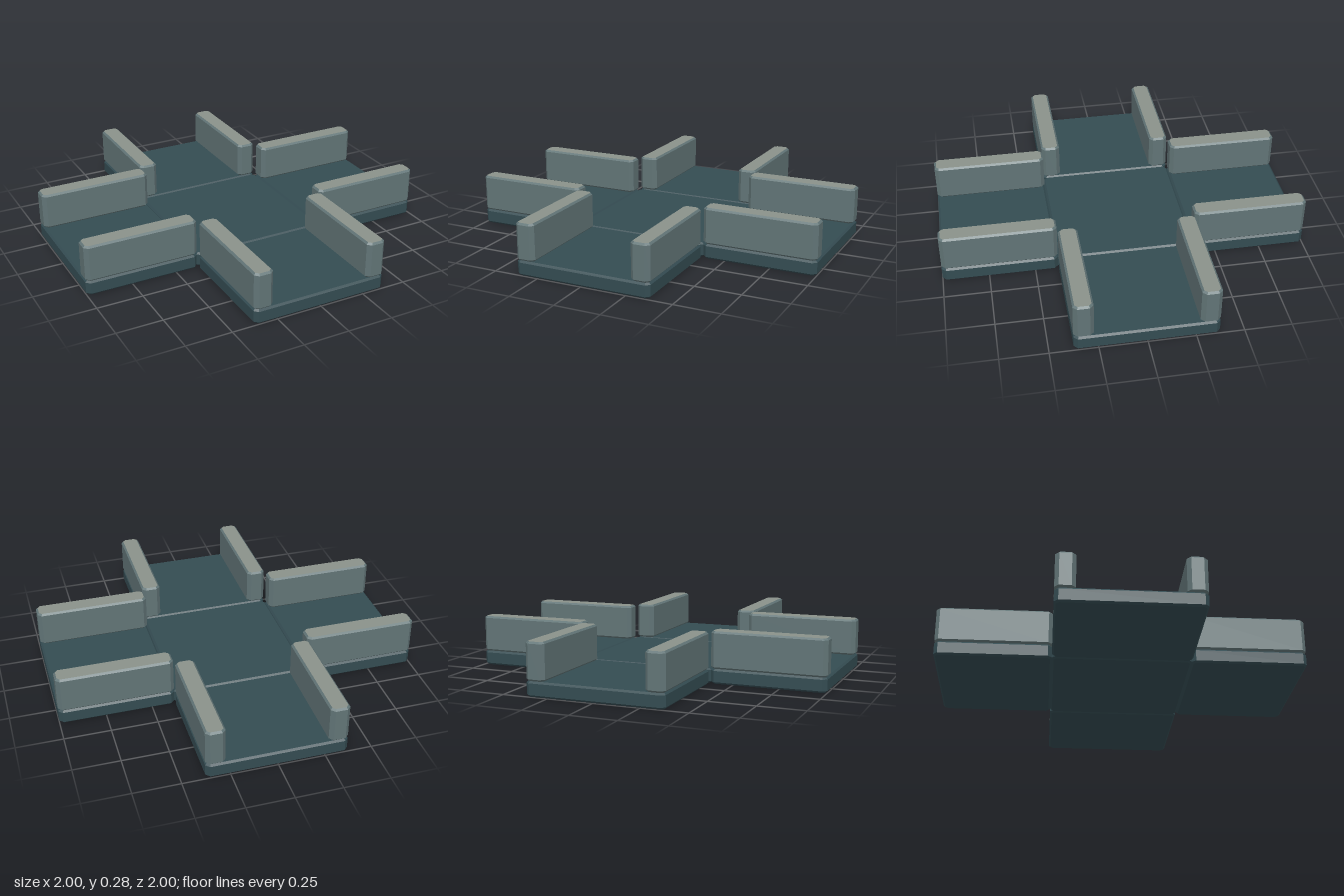
import * as THREE from 'three';

const floorMat = new THREE.MeshStandardMaterial({ color: 0x344c52, flatShading: true });
const wallTopMat = new THREE.MeshStandardMaterial({ color: 0x8a928a, flatShading: true });
const wallSideMat = new THREE.MeshStandardMaterial({ color: 0x627577, flatShading: true });

const BEVEL = 0.01;   // chamfer of top and bottom edges
const CORNER = 0.015; // chamfer of upright edges

// Chamfered slab: w along x, h along y, d along z, resting on y = 0
function slab(w, h, d) {
  const x = w / 2 - BEVEL, y = d / 2 - BEVEL, c = CORNER;
  const outline = new THREE.Shape([
    [x - c, -y], [x, -y + c], [x, y - c], [x - c, y],
    [-x + c, y], [-x, y - c], [-x, -y + c], [-x + c, -y],
  ].map(([a, b]) => new THREE.Vector2(a, b)));
  const geo = new THREE.ExtrudeGeometry(outline, {
    depth: h - 2 * BEVEL, bevelThickness: BEVEL, bevelSize: BEVEL, bevelSegments: 1,
  });
  return geo.rotateX(-Math.PI / 2).translate(0, BEVEL, 0);
}

export function createModel() {
  const model = new THREE.Group();
  model.name = 'crossJunction';

  function add(parent, name, geo, mat, x, y, z) {
    const mesh = new THREE.Mesh(geo, mat);
    mesh.name = name;
    mesh.position.set(x, y, z);
    parent.add(mesh);
  }

  // Centre tile
  add(model, 'centreFloor', slab(0.75, 0.08, 0.75), floorMat, 0, 0, 0);

  // Four arms, each a floor tile with a wall along both sides
  const armFloor = slab(0.75, 0.08, 0.625);
  const wall = slab(0.105, 0.2, 0.625);
  ['front', 'left', 'back', 'right'].forEach((side, i) => {
    const arm = new THREE.Group();
    arm.name = side + 'Arm';
    add(arm, side + 'Floor', armFloor, floorMat, 0, 0, 0.6875);
    for (const s of [-1, 1]) {
      add(arm, side + (s > 0 ? 'WallA' : 'WallB'), wall, [wallTopMat, wallSideMat], s * 0.3225, 0.08, 0.6875);
    }
    arm.rotation.y = i * Math.PI / 2;
    model.add(arm);
  });

  return model;
}
